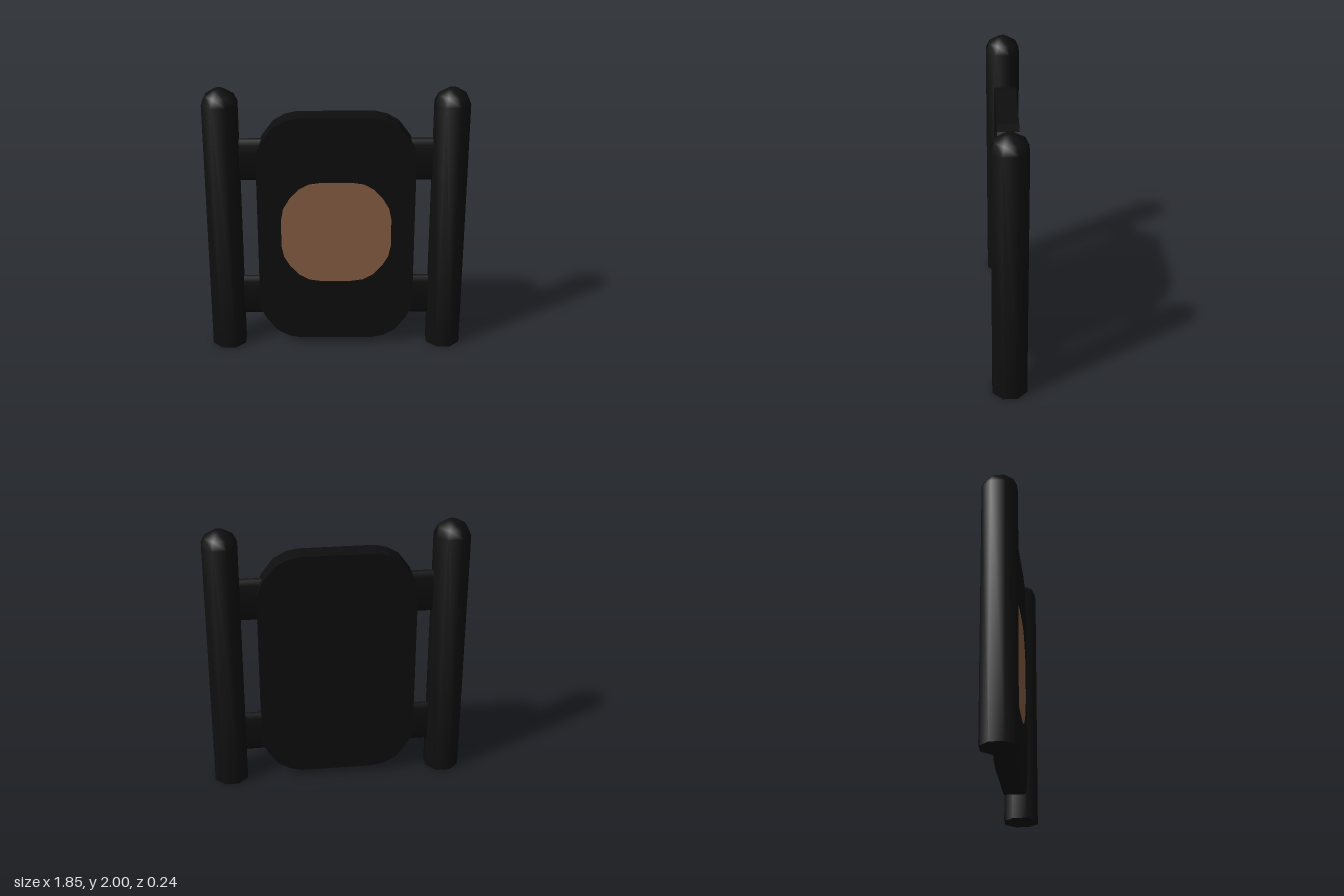
import * as THREE from 'three';
import { toCreasedNormals } from 'three/addons/utils/BufferGeometryUtils.js';

const black = new THREE.MeshStandardMaterial({ color: 0x0e0e0e });
black.name = 'black';
const brown = new THREE.MeshStandardMaterial({ color: 0x8a5f44 });
brown.name = 'brown';

const CENTER_Y = 0.9325;

// Mirror one corner (from the side up to the top edge) into a closed outline.
function mirroredShape(corner) {
  const right = corner.map(([x, y]) => new THREE.Vector2(x, y));
  const top = [...right, ...right.map(p => new THREE.Vector2(-p.x, p.y)).reverse()];
  const bottom = top.map(p => new THREE.Vector2(-p.x, -p.y));
  return new THREE.Shape([...top, ...bottom]);
}

// Flat plate between two depths.
function plate(name, corner, back, front, material) {
  const geometry = new THREE.ExtrudeGeometry(mirroredShape(corner), {
    depth: front - back, bevelEnabled: false,
  });
  const mesh = new THREE.Mesh(geometry, material);
  mesh.name = name;
  mesh.position.set(0, CENTER_Y, back);
  return mesh;
}

// Eight-sided post with a rounded top and a flat foot.
function post(name, x) {
  const profile = [[0, 0], [0.132, 0], [0.132, 1.9], [0.104, 1.958], [0.038, 2], [0, 2]]
    .map(([r, y]) => new THREE.Vector2(r, y));
  const geometry = new THREE.LatheGeometry(profile, 8, Math.PI / 8);
  const mesh = new THREE.Mesh(toCreasedNormals(geometry, 0.9), black);
  mesh.name = name;
  mesh.position.x = x;
  return mesh;
}

// Flattened round connector running from the panel into a post.
function connector(name, x, y) {
  const geometry = new THREE.CylinderGeometry(1, 1, 0.3, 16);
  geometry.rotateZ(Math.PI / 2);
  geometry.scale(1, 0.16, 0.034);
  const mesh = new THREE.Mesh(geometry, black);
  mesh.name = name;
  mesh.position.set(x, y, -0.006);
  return mesh;
}

export function createModel() {
  const model = new THREE.Group();
  model.name = 'panelWithPosts';

  // Central rounded panel
  model.add(plate('panel', [
    [0.563, 0.61], [0.522, 0.70], [0.44, 0.81], [0.355, 0.858], [0.27, 0.877],
  ], -0.08, 0.07, black));

  // Painted patch on the front
  model.add(plate('frontPatch', [
    [0.395, 0.105], [0.378, 0.19], [0.335, 0.265], [0.27, 0.338],
    [0.195, 0.38], [0.105, 0.393],
  ], 0.068, 0.074, brown));

  // Posts and connectors on both sides
  for (const [side, s] of [['left', 1], ['right', -1]]) {
    model.add(post(side + 'Post', s * 0.803));
    model.add(connector(side + 'UpperConnector', s * 0.62, 1.475));
    model.add(connector(side + 'LowerConnector', s * 0.62, 0.39));
  }
  return model;
}
